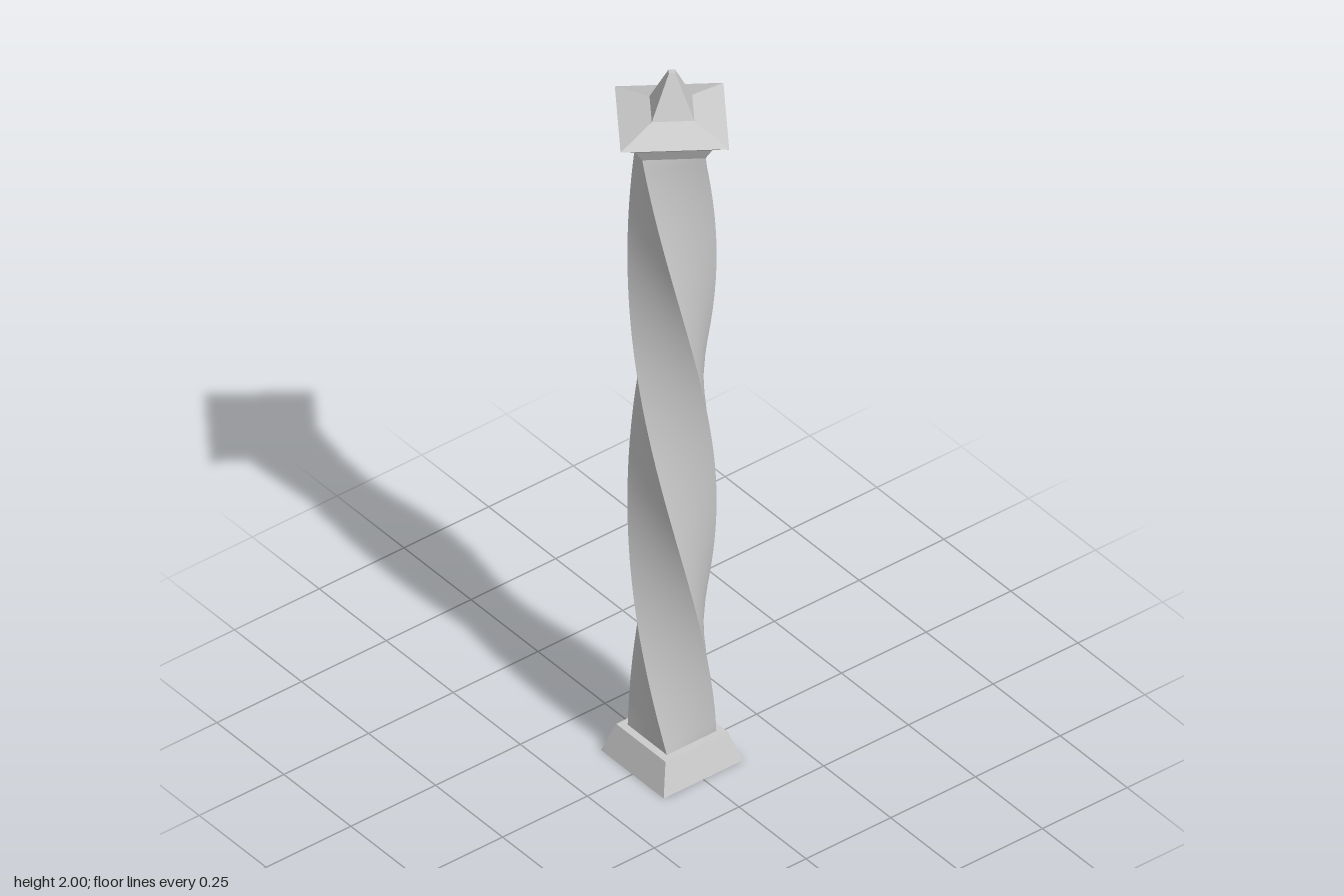
import * as THREE from 'three';

const BASE_TOP = 0.08, SHAFT_TOP = 1.8;
const TWIST = THREE.MathUtils.degToRad(215.3);

// Square stepped solid from [half diagonal, height] pairs, one corner on +z
function squareTurned(name, profile) {
  const points = profile.map(([r, y]) => new THREE.Vector2(r, y));
  const geometry = new THREE.LatheGeometry(points, 4);
  const material = new THREE.MeshStandardMaterial({ color: 0xcccccc, flatShading: true });
  const mesh = new THREE.Mesh(geometry, material);
  mesh.name = name;
  return mesh;
}

// Square bar turned steadily about its axis; sides stay smooth, corners sharp
function twistedBar(width, bottom, top, twist) {
  const height = top - bottom;
  const geometry = new THREE.BoxGeometry(width, height, width, 2, 60, 2);
  geometry.translate(0, height / 2, 0);
  const p = geometry.attributes.position;
  const v = new THREE.Vector3(), up = new THREE.Vector3(0, 1, 0);
  for (let i = 0; i < p.count; i++) {
    v.fromBufferAttribute(p, i);
    v.applyAxisAngle(up, -twist * v.y / height);
    p.setXYZ(i, v.x, v.y + bottom, v.z);
  }
  geometry.computeVertexNormals();
  const mesh = new THREE.Mesh(geometry, new THREE.MeshStandardMaterial({ color: 0xcccccc }));
  mesh.name = 'twistedShaft';
  return mesh;
}

export function createModel() {
  const group = new THREE.Group();
  group.name = 'twistedPost';

  // Tapered foot, sides facing the axes
  const base = squareTurned('base', [
    [0, 0], [0.117 * Math.SQRT2, 0], [0.092 * Math.SQRT2, BASE_TOP], [0, BASE_TOP],
  ]);
  base.rotation.y = Math.PI / 4;
  group.add(base);

  group.add(twistedBar(0.146, BASE_TOP, SHAFT_TOP, TWIST));

  // Flared cap and finial, aligned with the end of the twist
  const cap = squareTurned('cap', [
    [0, SHAFT_TOP], [0.104, SHAFT_TOP], [0.126, 1.835], [0.178, 1.865], [0.07, 1.892],
  ]);
  const finial = squareTurned('finial', [[0.07, 1.892], [0.011, 2], [0, 2]]);
  for (const part of [cap, finial]) {
    part.rotation.y = Math.PI / 4 - TWIST;
    group.add(part);
  }
  return group;
}
